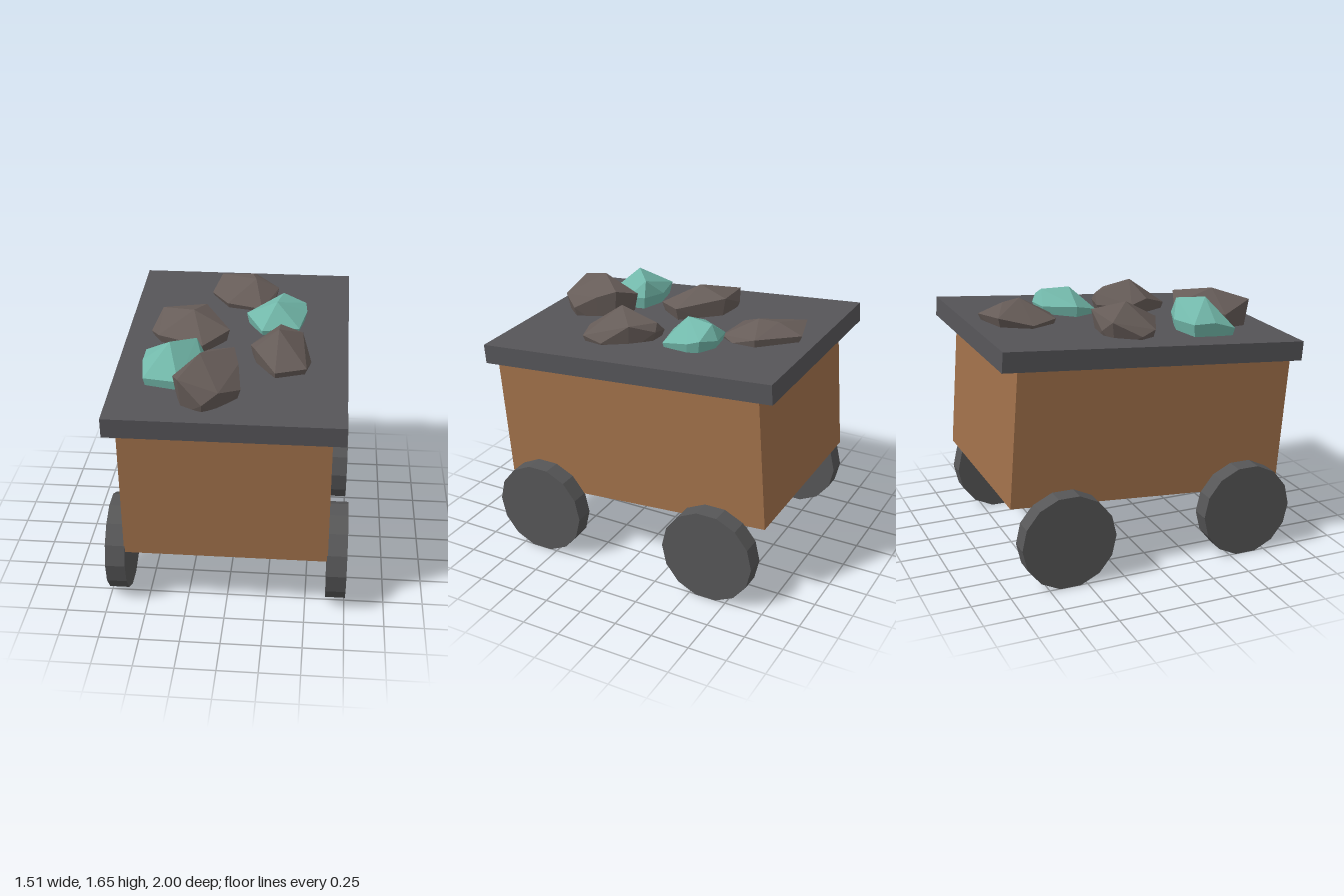
import * as THREE from 'three';
import { ConvexGeometry } from 'three/addons/geometries/ConvexGeometry.js';

const TILT = 0.08;
const paint = (color) => new THREE.MeshStandardMaterial({ color, flatShading: true });
const wood = paint(0xa0704a);
const slate = paint(0x555458);
const iron = paint(0x565657);
const stone = paint(0x665c58);
const crystal = paint(0x72b8aa);

// Height of the sloping lid's upper face at depth z
const lidTop = (z) => 1.465 - Math.tan(TILT) * z;

function addMesh(parent, name, geometry, material) {
  const mesh = new THREE.Mesh(geometry, material);
  mesh.name = name;
  parent.add(mesh);
  return mesh;
}

// Box leaning with the cart; the centre is given as y, z
function tiltedBox(parent, name, size, y, z, material) {
  const box = addMesh(parent, name, new THREE.BoxGeometry(...size), material);
  box.position.set(0, y, z);
  box.rotation.x = TILT;
}

// Faceted lump: points are [x, z, height above the lid], the first is the apex
function rock(parent, name, material, points) {
  const [cx, cz] = points[0];
  const corners = [new THREE.Vector3(cx, lidTop(cz) - 0.1, cz)];
  points.forEach(([x, z, h], i) => {
    corners.push(new THREE.Vector3(x, lidTop(z) + h, z));
    if (i === 0) return;
    // Narrower underside sunk into the lid
    const lx = cx + (x - cx) * 0.85;
    const lz = cz + (z - cz) * 0.85;
    corners.push(new THREE.Vector3(lx, lidTop(lz) - 0.06, lz));
  });
  addMesh(parent, name, new ConvexGeometry(corners), material);
}

export function createModel() {
  const cart = new THREE.Group();
  cart.name = 'oreCart';

  // Leaning crate and its overhanging lid
  tiltedBox(cart, 'crate', [1.27, 0.88, 1.84], 0.9, 0.003, wood);
  tiltedBox(cart, 'lid', [1.43, 0.125, 1.996], 1.4025, 0, slate);

  // Four solid wheels
  const wheelShape = new THREE.CylinderGeometry(0.307, 0.307, 0.125, 14).rotateZ(Math.PI / 2);
  for (const x of [-1, 1]) {
    for (const z of [-1, 1]) {
      const name = (z > 0 ? 'front' : 'back') + (x > 0 ? 'Left' : 'Right') + 'Wheel';
      addMesh(cart, name, wheelShape, iron).position.set(x * 0.692, 0.3, z * 0.613);
    }
  }

  // Load of ore lumps
  const load = new THREE.Group();
  load.name = 'oreLoad';
  cart.add(load);

  rock(load, 'backStone', stone, [
    [0.08, -0.62, 0.132], [0.05, -0.74, 0.112], [-0.17, -0.84, 0.06], [0.06, -0.9, 0.04],
    [0.235, -0.665, 0.05], [0.2, -0.5, 0.0], [0.135, -0.4, 0.02], [-0.1, -0.44, 0.035], [-0.22, -0.63, 0.02],
  ]);
  rock(load, 'leftCrystal', crystal, [
    [0.245, -0.22, 0.163], [0.28, -0.4, 0.142], [0.16, -0.435, 0.05], [0.31, -0.455, 0.05], [0.43, -0.39, 0.08],
    [0.44, -0.31, 0.06], [0.395, -0.12, 0.03], [0.155, -0.07, 0.03], [0.045, -0.24, 0.07],
  ]);
  rock(load, 'middleStone', stone, [
    [-0.28, -0.04, 0.18], [-0.505, -0.225, 0.1], [-0.42, -0.26, 0.03], [-0.22, -0.25, 0.12],
    [-0.045, 0.02, 0.08], [-0.2, 0.205, 0.06], [-0.5, 0.065, 0.05], [-0.56, -0.05, 0.02],
  ]);
  rock(load, 'leftStone', stone, [
    [0.28, 0.23, 0.202], [0.28, -0.02, 0.11], [0.21, -0.035, 0.04], [0.32, -0.03, 0.06], [0.425, 0.1, 0.12],
    [0.485, 0.27, 0.01], [0.46, 0.415, 0.04], [0.27, 0.48, 0.04], [0.13, 0.29, 0.1], [0.1, 0.17, 0.06],
  ]);
  rock(load, 'rightCrystal', crystal, [
    [-0.37, 0.47, 0.222], [-0.22, 0.34, 0.185], [-0.54, 0.31, 0.08], [-0.335, 0.27, 0.07], [-0.175, 0.325, 0.08],
    [-0.17, 0.45, 0.08], [-0.3, 0.66, 0.06], [-0.52, 0.61, 0.05], [-0.54, 0.46, 0.09],
  ]);
  rock(load, 'frontStone', stone, [
    [-0.17, 0.62, 0.235], [-0.145, 0.36, 0.12], [0.02, 0.43, 0.18], [0.055, 0.56, 0.14], [0.08, 0.72, 0.06],
    [-0.04, 0.855, 0.11], [-0.135, 0.9, 0.05], [-0.28, 0.84, 0.18], [-0.335, 0.64, 0.09],
  ]);

  return cart;
}
